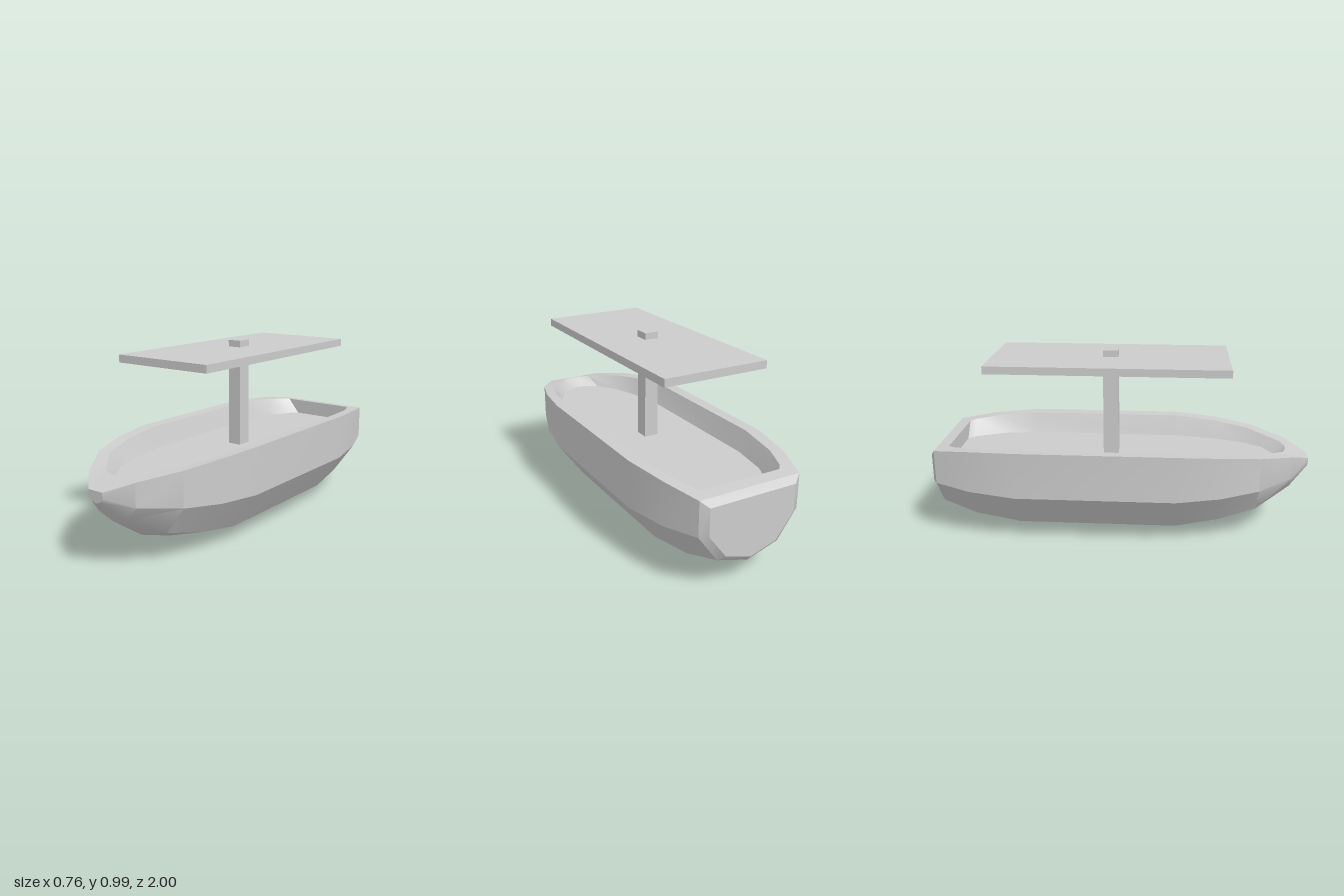
import * as THREE from 'three';
import { toCreasedNormals } from 'three/addons/utils/BufferGeometryUtils.js';

const material = new THREE.MeshStandardMaterial({ color: 0xcccccc });

// Collects triangles from lofted rows and capped loops.
class Surface {
  constructor() { this.v = []; }
  tri(a, b, c) { this.v.push(...a, ...b, ...c); }
  loft(rows, closed) {
    for (let i = 0; i + 1 < rows.length; i++) {
      const r = rows[i], s = rows[i + 1], n = r.length;
      for (let j = 0; j < (closed ? n : n - 1); j++) {
        const k = (j + 1) % n;
        this.tri(r[j], r[k], s[j]);
        this.tri(r[k], s[k], s[j]);
      }
    }
  }
  cap(loop) {
    const c = [0, 1, 2].map(a => loop.reduce((t, p) => t + p[a], 0) / loop.length);
    loop.forEach((p, j) => this.tri(c, p, loop[(j + 1) % loop.length]));
  }
  mesh(name, crease) {
    const g = new THREE.BufferGeometry();
    g.setAttribute('position', new THREE.Float32BufferAttribute(this.v, 3));
    const m = new THREE.Mesh(toCreasedNormals(g, crease), material);
    m.name = name;
    return m;
  }
}

const flip = ([x, y, z]) => [-x, y, z];

// Hull stations: z, half width, gunwale y, chine y, bilge half width, bilge y, keel y
const stations = [
  [1, 0.045, 0.415, 0.385, 0.028, 0.365, 0.355],
  [0.9, 0.15, 0.455, 0.335, 0.093, 0.27, 0.24],
  [0.72, 0.275, 0.49, 0.31, 0.17, 0.165, 0.115],
  [0.52, 0.34, 0.512, 0.29, 0.21, 0.115, 0.045],
  [0.29, 0.377, 0.525, 0.278, 0.235, 0.08, 0.002],
  [-0.54, 0.378, 0.525, 0.278, 0.235, 0.08, 0],
  [-0.79, 0.335, 0.512, 0.29, 0.208, 0.112, 0.045],
  [-0.975, 0.275, 0.49, 0.31, 0.17, 0.165, 0.115],
  [-1, 0.235, 0.455, 0.315, 0.14, 0.188, 0.145],
];

function createHull() {
  const rows = stations.map(([z, w, top, chine, bw, by, keel]) => {
    const side = [[w, top, z], [w, chine, z], [bw, by, z]];
    return [...side, [0, keel, z], ...side.map(flip).reverse()];
  });
  const s = new Surface();
  s.loft(rows, false);
  s.cap([...rows[0]].reverse());
  s.cap(rows[8]);
  // sloping strip along the top of the transom
  s.loft([rows[7], rows[8]].map(r => [r[6], r[0]]), false);
  return s.mesh('hull', 0.55);
}

// Rim and cockpit loops, listed on one side from bow to stern and mirrored.
const rimInner = [
  [0.025, 0.458, 0.878], [0.085, 0.462, 0.855], [0.225, 0.487, 0.69],
  [0.285, 0.507, 0.51], [0.315, 0.522, 0.29], [0.32, 0.522, -0.51],
  [0.285, 0.511, -0.75], [0.237, 0.5, -0.88], [0.21, 0.497, -0.91],
];
const floorEdge = [
  [0.025, 0.815], [0.11, 0.77], [0.18, 0.67], [0.235, 0.52], [0.277, 0.29],
  [0.283, -0.51], [0.25, -0.72], [0.18, -0.875], [0.14, -0.91],
].map(([x, z]) => [x, 0.412, z]);

function createCockpit() {
  const loop = half => [...half, ...half.map(flip).reverse()];
  const outer = stations.slice(0, 8).map(([z, w, top]) => [w, top, z]);
  outer.push([0.23, 0.49, -0.975]);
  const [a, b, c] = [outer, rimInner, floorEdge].map(loop);
  const group = new THREE.Group();
  group.name = 'cockpit';
  const parts = { rim: [a, b], innerWall: [b, c] };
  for (const [name, rows] of Object.entries(parts)) {
    const s = new Surface();
    s.loft(rows, true);
    group.add(s.mesh(name, 0.5));
  }
  const floor = new Surface();
  floor.cap(c);
  group.add(floor.mesh('floor', 0.5));
  return group;
}

function box(name, w, h, d, x, y, z) {
  const m = new THREE.Mesh(new THREE.BoxGeometry(w, h, d), material);
  m.position.set(x, y, z);
  m.name = name;
  return m;
}

export function createModel() {
  const boat = new THREE.Group();
  boat.name = 'boat';
  boat.add(
    createHull(),
    createCockpit(),
    box('mast', 0.076, 0.585, 0.08, 0, 0.6925, -0.065),
    box('canopy', 0.56, 0.04, 1.245, 0, 0.93, -0.067),
  );
  return boat;
}
